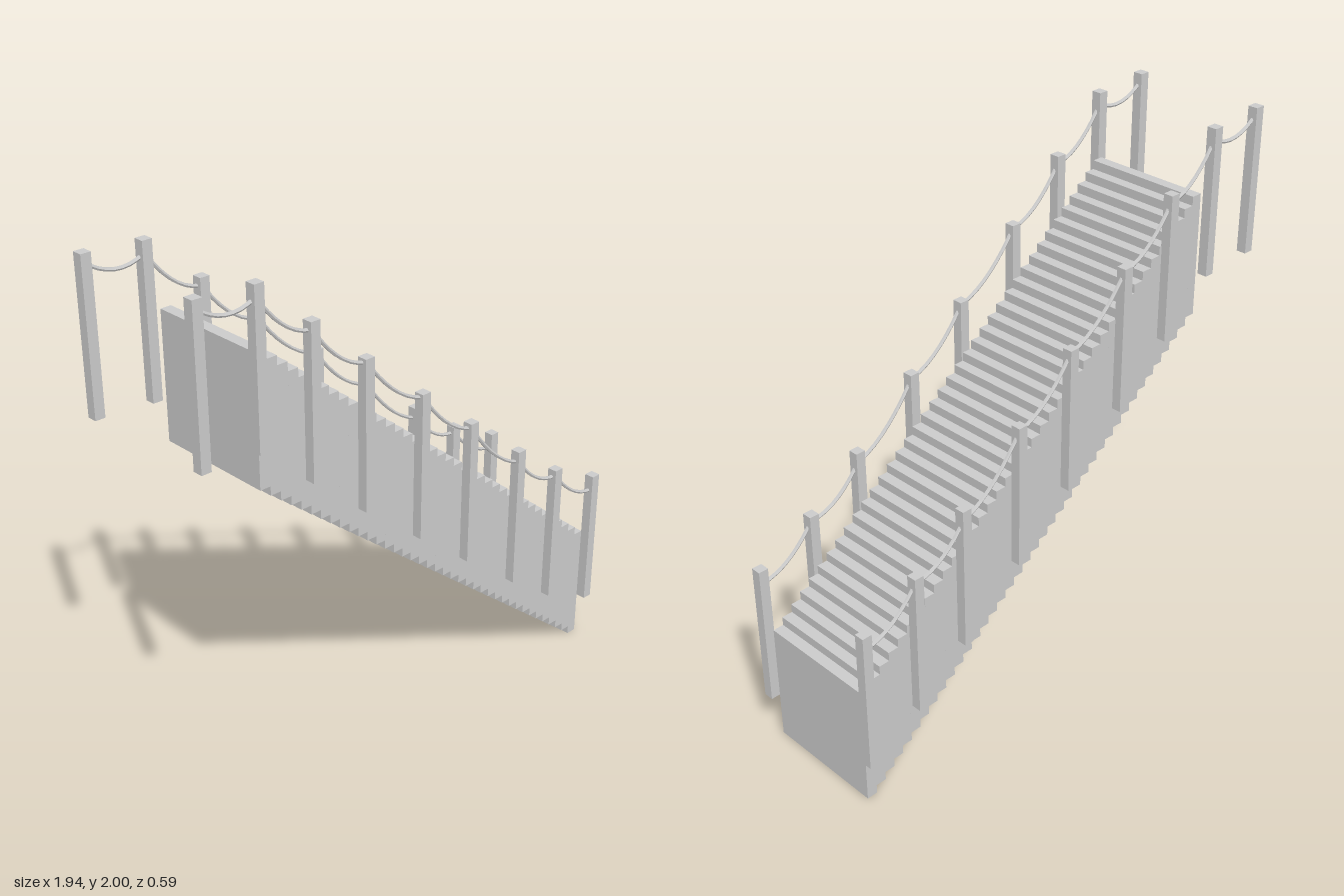
import * as THREE from 'three';

const material = new THREE.MeshStandardMaterial({ color: 0xcccccc, flatShading: true });

function box(name, w, h, d, x, y, z, yaw = 0) {
  const mesh = new THREE.Mesh(new THREE.BoxGeometry(w, h, d), material);
  mesh.name = name;
  mesh.position.set(x, y, z);
  mesh.rotation.y = yaw;
  return mesh;
}

// Rope hanging between two points
function rope(a, b, sag) {
  const points = [];
  for (let i = 0; i <= 6; i++) {
    const t = i / 6;
    const p = a.clone().lerp(b, t);
    p.y -= sag * 4 * t * (1 - t);
    points.push(p);
  }
  const curve = new THREE.CatmullRomCurve3(points);
  const mesh = new THREE.Mesh(new THREE.TubeGeometry(curve, 8, 0.007, 6), material);
  mesh.name = 'rope';
  return mesh;
}

export function createModel() {
  const model = new THREE.Group();
  model.name = 'ropedStaircase';
  const yaw = 0.0135; // the flight runs slightly askew

  // Flight of tall, overlapping step blocks
  const steps = new THREE.Group();
  steps.name = 'steps';
  const count = 39, x0 = -0.692, x1 = 0.933, blockHeight = 0.47;
  const run = (x1 - x0) / count, rise = 1.275 / (count - 1);
  for (let i = 0; i < count; i++) {
    const x = x0 + run * (i + 0.5);
    const y = 1.745 - rise * i - blockHeight / 2;
    const z = -0.011 - yaw * (x - 0.12);
    steps.add(box('step', run, blockHeight, 0.467, x, y, z, yaw));
  }
  model.add(steps);

  // Post rows: x on the front side, post top, rope height
  const posts = [
    [-0.930, 2.000, 1.965], [-0.705, 1.985, 1.935], [-0.490, 1.805, 1.770],
    [-0.262, 1.610, 1.590], [-0.002, 1.400, 1.380], [0.242, 1.205, 1.180],
    [0.503, 1.000, 0.950], [0.721, 0.842, 0.812], [0.950, 0.730, 0.665],
  ];
  const postHeight = 0.555, postWidth = 0.038;
  for (const side of [1, -1]) {
    const railing = new THREE.Group();
    railing.name = side > 0 ? 'frontRailing' : 'backRailing';
    const zAt = (x) => (side > 0 ? 0.252 : -0.262) - 0.0185 * x;
    const xAt = (x) => (side > 0 ? x : x - 0.026);
    let last = null;
    for (const [px, top, ropeY] of posts) {
      const x = xAt(px), z = zAt(x);
      railing.add(box('post', postWidth, postHeight, postWidth, x, top - postHeight / 2, z, yaw));
      const tie = new THREE.Vector3(x, ropeY, z);
      if (last) railing.add(rope(last, tie, 0.037));
      last = tie;
    }
    model.add(railing);
  }
  return model;
}
